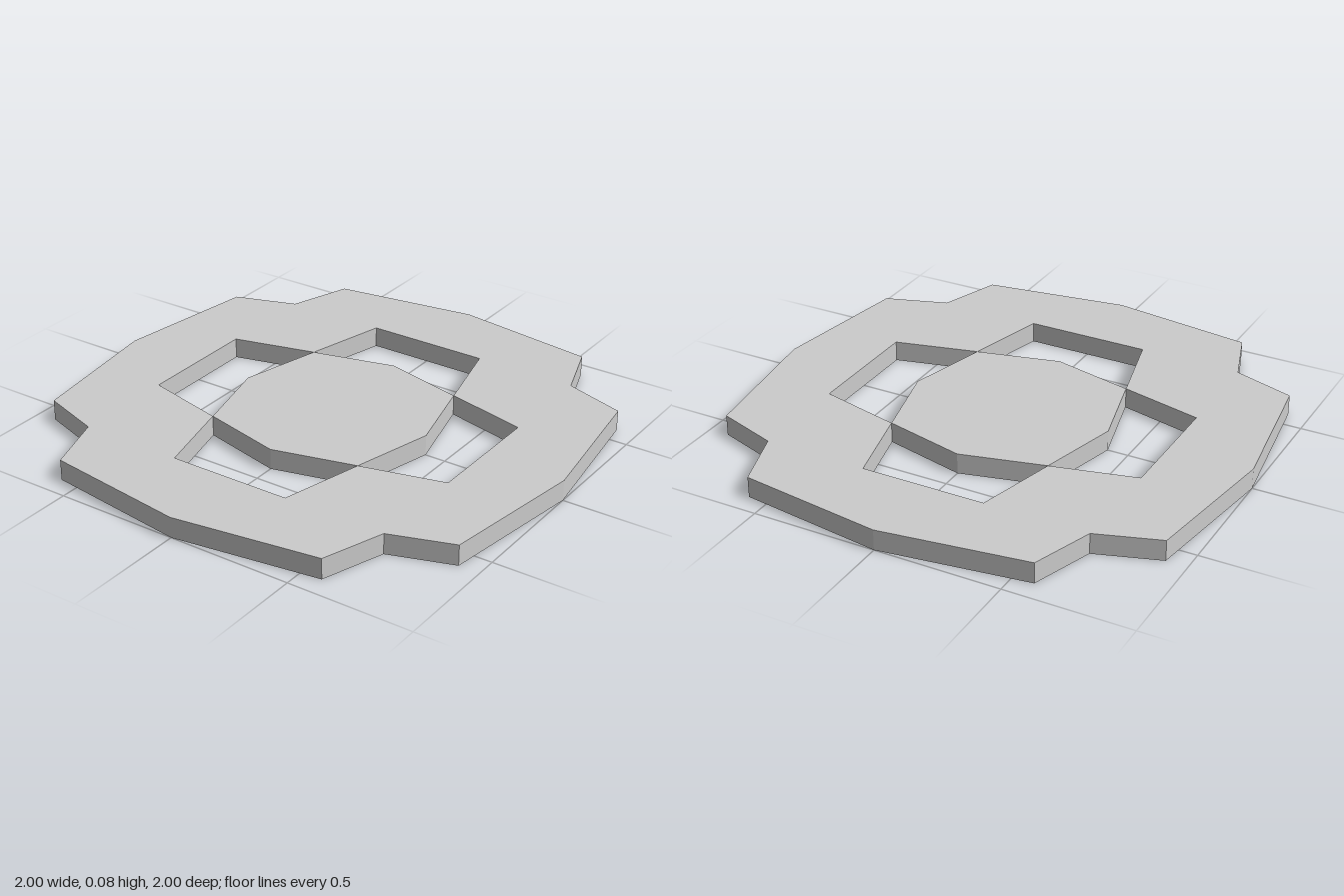
import * as THREE from 'three';

const THICKNESS = 0.083;

// Repeats the points of one quarter four times around the centre
function fourfold(quarter) {
  const points = [];
  for (let i = 0; i < 4; i++) {
    for (const [x, y] of quarter) {
      points.push(new THREE.Vector2(x, y).rotateAround(new THREE.Vector2(), i * Math.PI / 2));
    }
  }
  return points;
}

// Flat plate lying on the ground, cut from an outline
function plate(name, shape, material) {
  const geometry = new THREE.ExtrudeGeometry(shape, { depth: THICKNESS, bevelEnabled: false });
  geometry.rotateX(-Math.PI / 2);
  const mesh = new THREE.Mesh(geometry, material);
  mesh.name = name;
  return mesh;
}

export function createModel() {
  const group = new THREE.Group();
  group.name = 'openworkPlate';
  const material = new THREE.MeshStandardMaterial({ color: 0xcccccc, flatShading: true });

  // Outer ring with notched corners and a star-shaped opening
  const ring = new THREE.Shape(fourfold([[1, 0], [0.917, 0.583], [0.667, 0.667], [0.583, 0.917]]));
  ring.holes.push(new THREE.Path(fourfold([[0.667, 0.25], [0.333, 0.333], [0.25, 0.667]])));
  group.add(plate('outerRing', ring, material));

  // Eight-sided centre, meeting the ring at its four diagonal corners
  const centre = new THREE.Shape(fourfold([[0.416, 0], [0.333, 0.333]]));
  group.add(plate('centrePlate', centre, material));

  return group;
}
